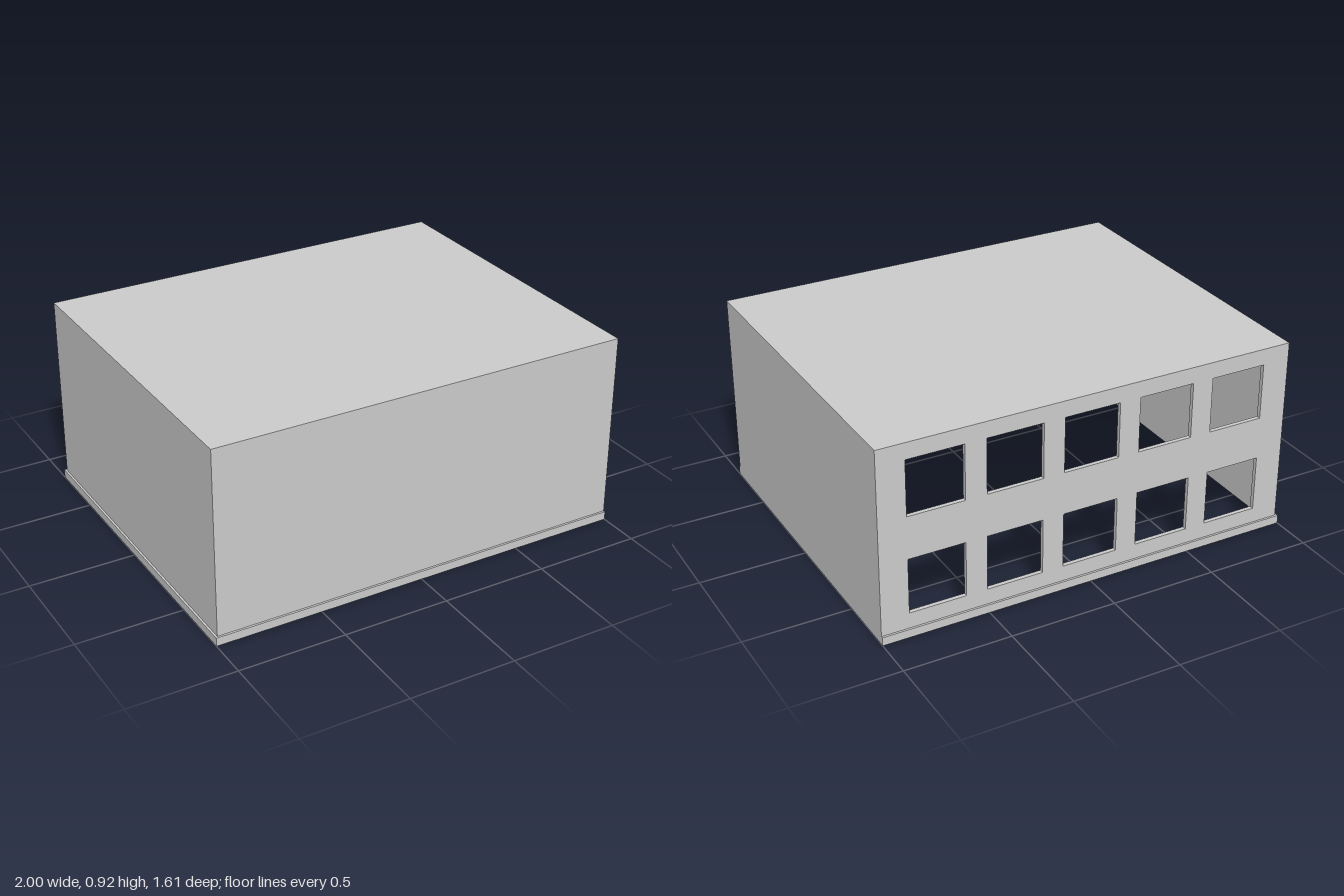
import * as THREE from 'three';

export function createModel() {
  const model = new THREE.Group();
  const material = new THREE.MeshStandardMaterial({ color: 0xcccccc, flatShading: true, side: THREE.DoubleSide });

  // Main dimensions: outer wall faces, height and sheet thickness
  const x0 = -0.99, x1 = 1, z = 0.795, height = 0.917, t = 0.02;
  const ledge = 0.01, skirtHeight = 0.04;

  function add(name, geometry) {
    const mesh = new THREE.Mesh(geometry, material);
    mesh.name = name;
    model.add(mesh);
  }

  // Box given by its lower and upper corners
  function slab(name, ax, ay, az, bx, by, bz) {
    const g = new THREE.BoxGeometry(bx - ax, by - ay, bz - az);
    g.translate((ax + bx) / 2, (ay + by) / 2, (az + bz) / 2);
    add(name, g);
  }

  // Closed walls and roof; the underside stays open
  const top = height - t;
  slab('roof', x0, top, -z, x1, height, z);
  slab('frontWall', x0, 0, z - t, x1, top, z);
  slab('rightWall', x0, 0, -z + t, x0 + t, top, z - t);
  slab('leftWall', x1 - 0.008, 0, -z + t, x1, top, z - t);

  // Back wall with two rows of five window openings
  const wall = new THREE.Shape([[x0, 0], [x1, 0], [x1, top], [x0, top]].map(p => new THREE.Vector2(...p)));
  const halfW = 0.133, halfH = 0.131, middle = (x0 + x1) / 2;
  for (const cy of [0.245, 0.709]) {
    for (let i = -2; i <= 2; i++) {
      const cx = middle + i * 0.366;
      wall.holes.push(new THREE.Path([
        [cx - halfW, cy - halfH], [cx - halfW, cy + halfH],
        [cx + halfW, cy + halfH], [cx + halfW, cy - halfH],
      ].map(p => new THREE.Vector2(...p))));
    }
  }
  const backWall = new THREE.ExtrudeGeometry(wall, { depth: t, bevelEnabled: false });
  backWall.translate(0, 0, -z);
  add('backWall', backWall);

  // Skirting around three sides, flush with the left wall
  slab('frontSkirting', x0 - ledge, 0, z, x1, skirtHeight, z + ledge);
  slab('backSkirting', x0 - ledge, 0, -z - ledge, x1, skirtHeight, -z);
  slab('rightSkirting', x0 - ledge, 0, -z, x0, skirtHeight, z);

  return model;
}
